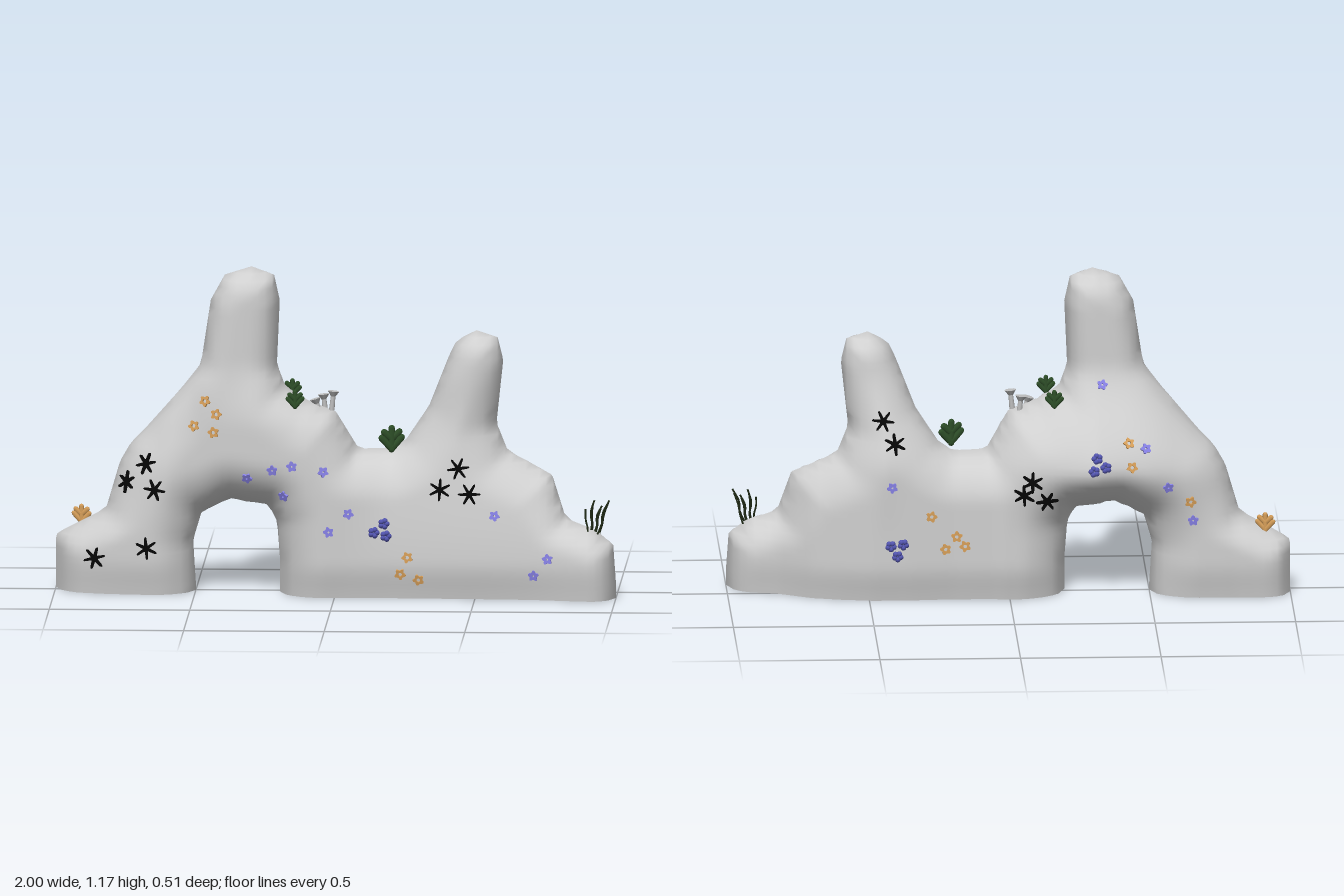
import * as THREE from 'three';

const mat = (name, color, side = THREE.FrontSide) => {
  const m = new THREE.MeshStandardMaterial({ color, side });
  m.name = name;
  return m;
};

// Outline of the rock in x, y; the feet run on below the ground and are cut at y = 0
const outline = [
  [-1, -1], [-1, .19], [-.97, .21], [-.82, .29], [-.77, .46], [-.73, .53], [-.68, .58], [-.55, .73], [-.48, .82],
  [-.445, 1.05], [-.395, 1.14], [-.3, 1.17], [-.22, 1.14], [-.2, 1.05], [-.21, .82], [-.18, .74], [-.1, .69],
  [0, .65], [.03, .6], [.08, .515], [.2, .515], [.25, .55], [.33, .67], [.405, .86], [.43, .91], [.5, .945],
  [.575, .92], [.595, .84], [.57, .61], [.61, .51], [.77, .43], [.82, .28], [.93, .24], [.99, .19], [1, .05],
  [1, -1], [-.2, -1], [-.2, .12], [-.21, .25], [-.24, .31], [-.38, .33], [-.48, .28], [-.51, .18], [-.5, .02], [-.5, -1],
];
// Depth stations: x, front z, back z
const depth = [
  [-1, .06, -.15], [-.92, .105, -.16], [-.8, .14, -.15], [-.6, .165, -.185], [-.5, .155, -.21], [-.3, .2, -.25],
  [-.1, .215, -.19], [.05, .205, -.145], [.2, .2, -.14], [.45, .21, -.16], [.6, .215, -.13], [.7, .22, -.1],
  [.83, .24, -.02], [.93, .255, 0], [1, .25, .02],
];
const { smoothstep, lerp, clamp } = THREE.MathUtils;

// Nearest outline point, distance, and whether (x, y) is inside
function probe(x, y) {
  let best = { d: 9, x, y }, inside = false;
  outline.forEach(([ax, ay], i) => {
    const [bx, by] = outline[(i + 1) % outline.length];
    const ex = bx - ax, ey = by - ay;
    const t = clamp(((x - ax) * ex + (y - ay) * ey) / (ex * ex + ey * ey), 0, 1);
    const px = ax + ex * t, py = ay + ey * t, d = Math.hypot(x - px, y - py);
    if (d < best.d) best = { d, x: px, y: py };
    if ((ay > y) !== (by > y) && x < ax + (y - ay) / ey * ex) inside = !inside;
  });
  return { ...best, inside };
}

// Front (side 1) or back (side -1) z of the rock, rounded off toward its outline
function surfaceZ(x, y, side, d) {
  let i = 0;
  while (i < depth.length - 2 && x > depth[i + 1][0]) i++;
  const [x0, f0, b0] = depth[i], [x1, f1, b1] = depth[i + 1];
  const t = clamp((x - x0) / (x1 - x0), 0, 1), right = smoothstep(x, 0, .2);
  // the right mass tapers upward from its base, the left one only near the spire
  const taper = lerp(smoothstep(y, .6, .85), smoothstep(y, .1, .75), right);
  const front = lerp(lerp(f0, f1, t), lerp(.155, .14, right), taper);
  // the back bulges out only above the arch
  const b = lerp(b0, b1, t), low = lerp(Math.max(b, -.152), b, smoothstep(y, .22, .48));
  const back = lerp(low, lerp(-.062, -.055, right), smoothstep(y, .45, .85));
  if (d === undefined) { const p = probe(x, y); d = p.inside ? p.d : 0; }
  // softer edges beside the arch, tighter ones at the feet and spires
  const jamb = .09 * (1 - smoothstep(Math.abs(x + .35), .25, .42));
  const base = lerp(.1 + jamb, .18, smoothstep(y, .1, .45));
  const k = 1 - Math.min(d / lerp(base, .105, smoothstep(y, .55, .8)), 1);
  const foot = 1 - .15 * (1 - smoothstep(y, -.03, .13));
  return (front + back) / 2 + side * (front - back) / 2 * Math.sqrt(1 - k * k) * foot;
}

// Front and back sheets over one grid, with edge points snapped to the outline; open underneath
function rockGeometry() {
  const S = .025, NX = 82, NY = 49, pos = [], index = [], grid = [];
  for (let j = 0; j < NY; j++) for (let i = 0; i <= NX; i++) {
    const x = -1.025 + i * S, y = j * S, p = probe(x, y + .0005), n = pos.length / 3;
    if (p.inside) {
      pos.push(x, y, surfaceZ(x, y, 1, p.d), x, y, surfaceZ(x, y, -1, p.d));
      grid.push({ f: n, b: n + 1, inside: true });
    } else {
      const py = j ? Math.max(p.y, 0) : 0;
      pos.push(p.x, py, surfaceZ(p.x, py, 1, 0));
      grid.push({ f: n, b: n, inside: false });
    }
  }
  const tri = (p, q, r) => {
    if (p.inside || q.inside || r.inside) index.push(p.f, q.f, r.f, p.b, r.b, q.b);
  };
  for (let j = 0; j < NY - 1; j++) for (let i = 0; i < NX; i++) {
    const n = j * (NX + 1) + i, a = grid[n], b = grid[n + 1], c = grid[n + NX + 2], d = grid[n + NX + 1];
    tri(a, b, c);
    tri(a, c, d);
  }
  const body = new THREE.BufferGeometry();
  body.setAttribute('position', new THREE.Float32BufferAttribute(pos, 3));
  body.setIndex(index);
  body.computeVertexNormals();
  return body;
}

// Thin flat star with slender arms
function starGeometry(arms, outer, inner, halfWidth, thick) {
  const pts = [], put = (a, r) => pts.push(new THREE.Vector2(Math.cos(a) * r, Math.sin(a) * r));
  for (let i = 0; i < arms; i++) {
    const a = i / arms * Math.PI * 2;
    put(a - halfWidth, outer * .9);
    put(a, outer);
    put(a + halfWidth, outer * .9);
    put(a + Math.PI / arms, inner);
  }
  return new THREE.ExtrudeGeometry(new THREE.Shape(pts), { depth: thick, bevelEnabled: false });
}

// Thin lobed ring
function polypGeometry(radius, hole) {
  const pts = [];
  for (let i = 0; i < 30; i++) {
    const a = i / 30 * Math.PI * 2, r = radius * (.82 + .18 * Math.cos(5 * a));
    pts.push(new THREE.Vector2(Math.cos(a) * r, Math.sin(a) * r));
  }
  const shape = new THREE.Shape(pts);
  shape.holes.push(new THREE.Path().absarc(0, 0, hole, 0, Math.PI * 2, true));
  return new THREE.ExtrudeGeometry(shape, { depth: .008, bevelEnabled: false, curveSegments: 6 });
}

export function createModel() {
  const model = new THREE.Group();
  const stone = mat('stone grey', 0xd0d0d0, THREE.DoubleSide), black = mat('starfish black', 0x050505);
  const blue = mat('polyp blue', 0x8c86ee), deepBlue = mat('coral blue', 0x5456b2);
  const orange = mat('polyp orange', 0xd8a05a), green = mat('plant green', 0x2f5029);
  const grassMat = mat('grass dark green', 0x222d17), cap = mat('mushroom grey', 0xbebebe);
  const add = (parent, name, geo, m) => {
    const mesh = new THREE.Mesh(geo, m);
    mesh.name = name;
    parent.add(mesh);
    return mesh;
  };
  add(model, 'rockArch', rockGeometry(), stone);

  // Lay an object flat on the front or back of the rock
  const stick = (obj, x, y, side) => {
    const e = .02, z = (u, v) => surfaceZ(u, v, side);
    const n = new THREE.Vector3(-(z(x + e, y) - z(x - e, y)) / (2 * e), -(z(x, y + e) - z(x, y - e)) / (2 * e), 1);
    n.multiplyScalar(side).normalize();
    obj.position.set(x, y, z(x, y));
    obj.quaternion.setFromUnitVectors(new THREE.Vector3(0, 0, side), n);
    if (side < 0) obj.rotateY(Math.PI);
    obj.rotateZ(x * 17 + y * 9);
  };
  const scatter = (name, geo, m, side, spots) => spots.forEach(([x, y]) => stick(add(model, name, geo, m), x, y, side));

  // Six-armed starfish
  const star = starGeometry(6, .041, .011, .1, .009);
  scatter('starfish', star, black, 1, [[-.67, .47], [-.74, .4], [-.64, .38], [-.855, .13], [-.67, .17], [.44, .465], [.375, .39], [.48, .375]]);
  scatter('starfish', star, black, -1, [[.45, .65], [.41, .57], [-.08, .44], [-.05, .39], [-.13, .37]]);

  // Small five-lobed polyps
  const bluePolyp = polypGeometry(.02, .004), orangePolyp = polypGeometry(.021, .007);
  scatter('bluePolyp', bluePolyp, blue, 1, [[-.31, .43], [-.22, .46], [-.15, .475], [-.04, .455], [-.18, .365], [-.02, .24], [.05, .305], [.57, .3], [.76, .15], [.71, .09]]);
  scatter('bluePolyp', bluePolyp, blue, -1, [[-.48, .56], [.42, .42], [-.56, .42], [-.65, .29], [-.33, .77]]);
  scatter('orangePolyp', orangePolyp, orange, 1, [[-.46, .7], [-.42, .655], [-.5, .61], [-.43, .59], [.26, .15], [.235, .09], [.3, .07]]);
  scatter('orangePolyp', orangePolyp, orange, -1, [[-.42, .58], [-.43, .5], [.28, .31], [.23, .19], [.16, .2], [.19, .235], [-.64, .36]]);

  // Blue bubble coral clusters
  const bead = new THREE.SphereGeometry(.01, 8, 6);
  for (const [x, y, side] of [[.165, .245, 1], [-.31, .51, -1], [.4, .195, -1]]) {
    const cluster = new THREE.Group();
    cluster.name = 'bubbleCoral';
    for (const [cx, cy] of [[-.02, .018], [.024, .012], [0, -.025]]) for (let i = 0; i < 5; i++) {
      const a = i / 5 * Math.PI * 2;
      add(cluster, 'coralBead', bead, deepBlue).position.set(cx + Math.cos(a) * .011, cy + Math.sin(a) * .011, .005);
    }
    stick(cluster, x, y, side);
    model.add(cluster);
  }

  // Fan-shaped branching plants: lobes spread in one plane
  const fan = (name, m, x, y, z, h, turn) => {
    const g = new THREE.Group();
    g.name = name;
    for (const [base, angle, len] of [[0, 0, 1], [.1, .75, .65], [.1, -.75, .65], [.45, .85, .45], [.45, -.85, .45]]) {
      const lobe = add(g, 'frond', new THREE.CapsuleGeometry(h * .125, h * len * .75, 2, 6), m);
      lobe.position.set(-Math.sin(angle) * h * len * .45, h * (base + Math.cos(angle) * len * .45), 0);
      lobe.rotation.z = angle;
      lobe.scale.z = .6;
    }
    g.position.set(x, y, z);
    g.rotation.y = turn;
    model.add(g);
  };
  fan('greenPlant', green, .2, .515, .09, .1, .3);
  fan('greenPlant', green, -.16, .685, -.07, .07, -.1);
  fan('greenPlant', green, -.14, .68, .175, .07, .1);
  fan('orangeCoral', orange, -.91, .225, -.07, .075, -.2);

  // Tuft of wavy sea grass leaning outward
  const tuft = new THREE.Group();
  tuft.name = 'seaGrass';
  for (let i = 0; i < 7; i++) {
    const s = (i - 3) / 3, h = .09 + .03 * ((i * 3) % 4) / 3;
    const path = new THREE.CatmullRomCurve3([[0, -.02], [.012, .3], [.01, .6], [.03, 1]].map(([o, t]) =>
      new THREE.Vector3(s * .02 + o * (i % 2 ? 1 : .4) + s * t * .02, t * h, s * ((i % 3) - 1) * .02 * (1 - t * .5))));
    add(tuft, 'grassBlade', new THREE.TubeGeometry(path, 6, .0032, 4), grassMat);
  }
  tuft.position.set(.92, .23, .13);
  model.add(tuft);

  // Little mushroom corals on the saddle
  for (const [x, z, h, tilt] of [[-.06, .055, .035, .3], [-.015, .05, .06, -.1], [-.04, .02, .045, .1]]) {
    const g = new THREE.Group();
    g.name = 'mushroomCoral';
    add(g, 'stalk', new THREE.CylinderGeometry(.008, .01, h, 8), cap).position.y = h / 2;
    add(g, 'cap', new THREE.CylinderGeometry(.021, .009, .018, 10), cap).position.y = h;
    g.position.set(x, .655, z);
    g.rotation.z = tilt;
    model.add(g);
  }
  return model;
}
